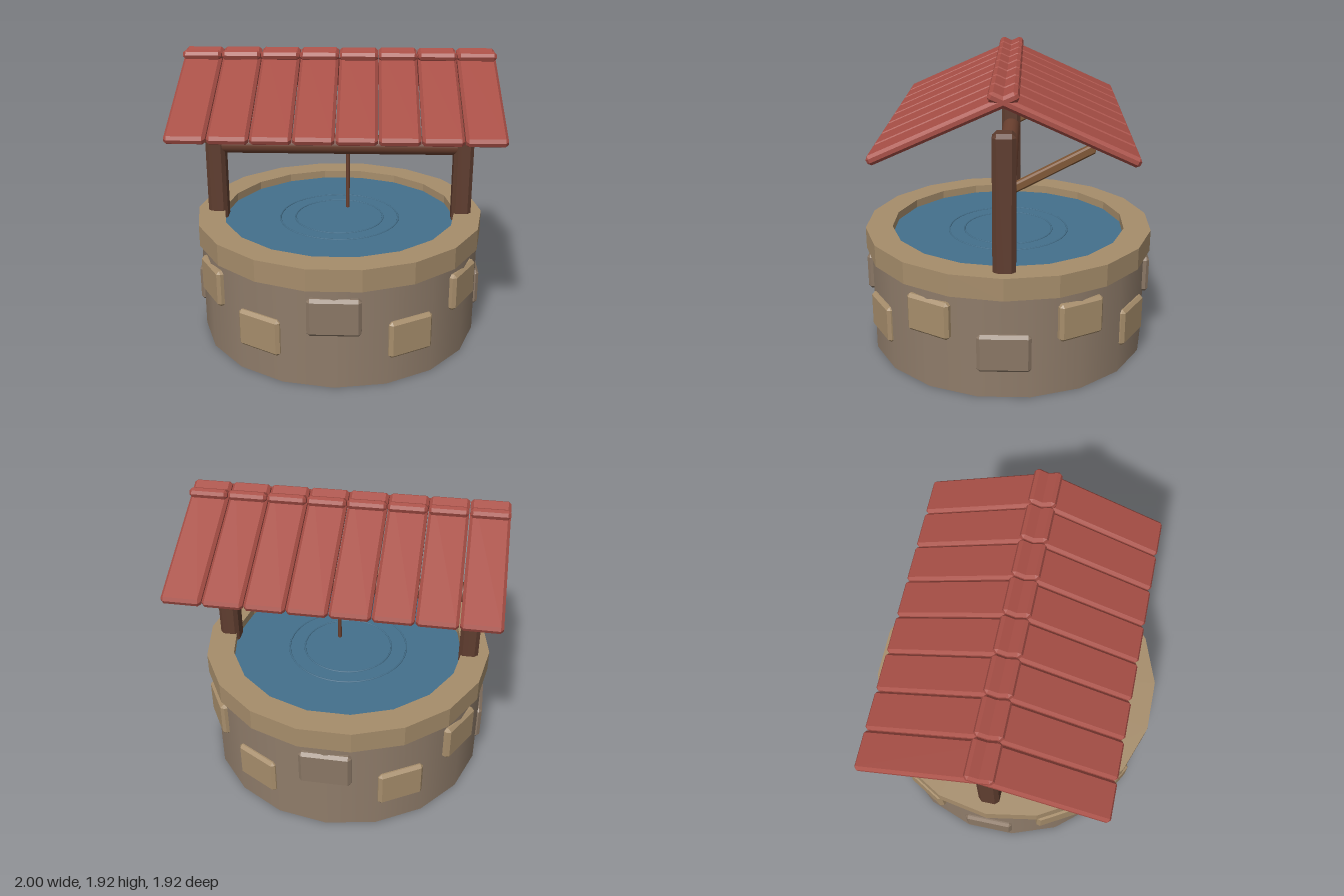
import * as THREE from 'three';
import { ConvexGeometry } from 'three/addons/geometries/ConvexGeometry.js';

const material = (name, color) => {
  const m = new THREE.MeshStandardMaterial({ color });
  m.name = name;
  return m;
};

// Box with chamfered edges and corners
function chamferBox(w, h, d, c) {
  const points = [];
  for (const x of [-1, 1]) for (const y of [-1, 1]) for (const z of [-1, 1]) {
    const X = w / 2, Y = h / 2, Z = d / 2;
    points.push(
      new THREE.Vector3(x * X, y * (Y - c), z * (Z - c)),
      new THREE.Vector3(x * (X - c), y * Y, z * (Z - c)),
      new THREE.Vector3(x * (X - c), y * (Y - c), z * Z));
  }
  return new ConvexGeometry(points);
}

export function createModel() {
  const well = new THREE.Group();
  well.name = 'well';

  const wallStone = material('wall stone', 0x8f7c6a);
  const rimStone = material('rim stone', 0xa68d6b);
  const greyStone = material('grey stone', 0x8a7765);
  const waterBlue = material('water blue', 0x44708c);
  const postWood = material('post wood', 0x5f3d2f);
  const beamWood = material('beam wood', 0x6b402f);
  const braceWood = material('brace wood', 0x7f5736);
  const roofRed = material('roof red', 0xa84f46);

  const add = (name, geometry, mat, x = 0, y = 0, z = 0, parent = well) => {
    const mesh = new THREE.Mesh(geometry, mat);
    mesh.name = name;
    mesh.position.set(x, y, z);
    parent.add(mesh);
    return mesh;
  };

  // Round wall
  add('wall', new THREE.CylinderGeometry(0.945, 0.945, 0.69, 18), wallStone, 0, 0.345, 0);

  // Faceted rim ring, with a corner pointing to each side
  const profile = [[0.79, 0.67], [0.97, 0.67], [0.97, 0.815], [0.79, 0.815], [0.79, 0.67]]
    .map(([r, y]) => new THREE.Vector2(r, y));
  const rimGeometry = new THREE.LatheGeometry(profile, 18).toNonIndexed();
  rimGeometry.computeVertexNormals();
  add('rim', rimGeometry, rimStone).rotation.y = Math.PI / 2;

  // Water and its ripples
  add('water', new THREE.CylinderGeometry(0.8, 0.8, 0.08, 36), waterBlue, 0, 0.72, 0);
  for (const r of [0.3, 0.405]) {
    add('ripple', new THREE.TorusGeometry(r, 0.006, 6, 36), waterBlue, 0, 0.76, 0)
      .rotation.x = -Math.PI / 2;
  }

  // Stones around the wall, alternating high and low, every third one grey
  const stones = new THREE.Group();
  stones.name = 'stones';
  well.add(stones);
  for (let i = 0; i < 12; i++) {
    const a = i * Math.PI / 6, grey = i % 3 === 0;
    add('stone', chamferBox(grey ? 0.335 : 0.31, 0.25, 0.1, 0.02), grey ? greyStone : rimStone,
      Math.sin(a) * 0.91, i % 2 ? 0.307 : 0.487, Math.cos(a) * 0.91, stones).rotation.y = a;
  }

  // Posts with a slanted brace behind each
  for (const s of [-1, 1]) {
    add('post', chamferBox(0.13, 1.64, 0.14, 0.025), postWood, s * 0.83, 0.84, 0);
    add('brace', chamferBox(0.055, 0.055, 0.58, 0.01), braceWood, s * 0.83, 1.435, -0.255)
      .rotation.x = 0.49;
  }

  // Winding beam and rope
  add('beam', new THREE.CylinderGeometry(0.065, 0.065, 1.6, 18), beamWood, 0, 1.28, 0)
    .rotation.z = Math.PI / 2;
  add('rope', new THREE.CylinderGeometry(0.013, 0.013, 0.43, 8), beamWood, 0.058, 1.045, 0);

  // Roof planks crossing at the ridge
  const plank = chamferBox(0.245, 0.06, 0.925, 0.018);
  for (const s of [-1, 1]) {
    const slope = new THREE.Group();
    slope.name = s > 0 ? 'frontRoof' : 'backRoof';
    well.add(slope);
    for (let i = 0; i < 8; i++) {
      add('plank', plank, roofRed, -0.8775 + i * 0.2507, 1.713, s * 0.338, slope)
        .rotation.x = s * 0.422;
    }
  }

  return well;
}
